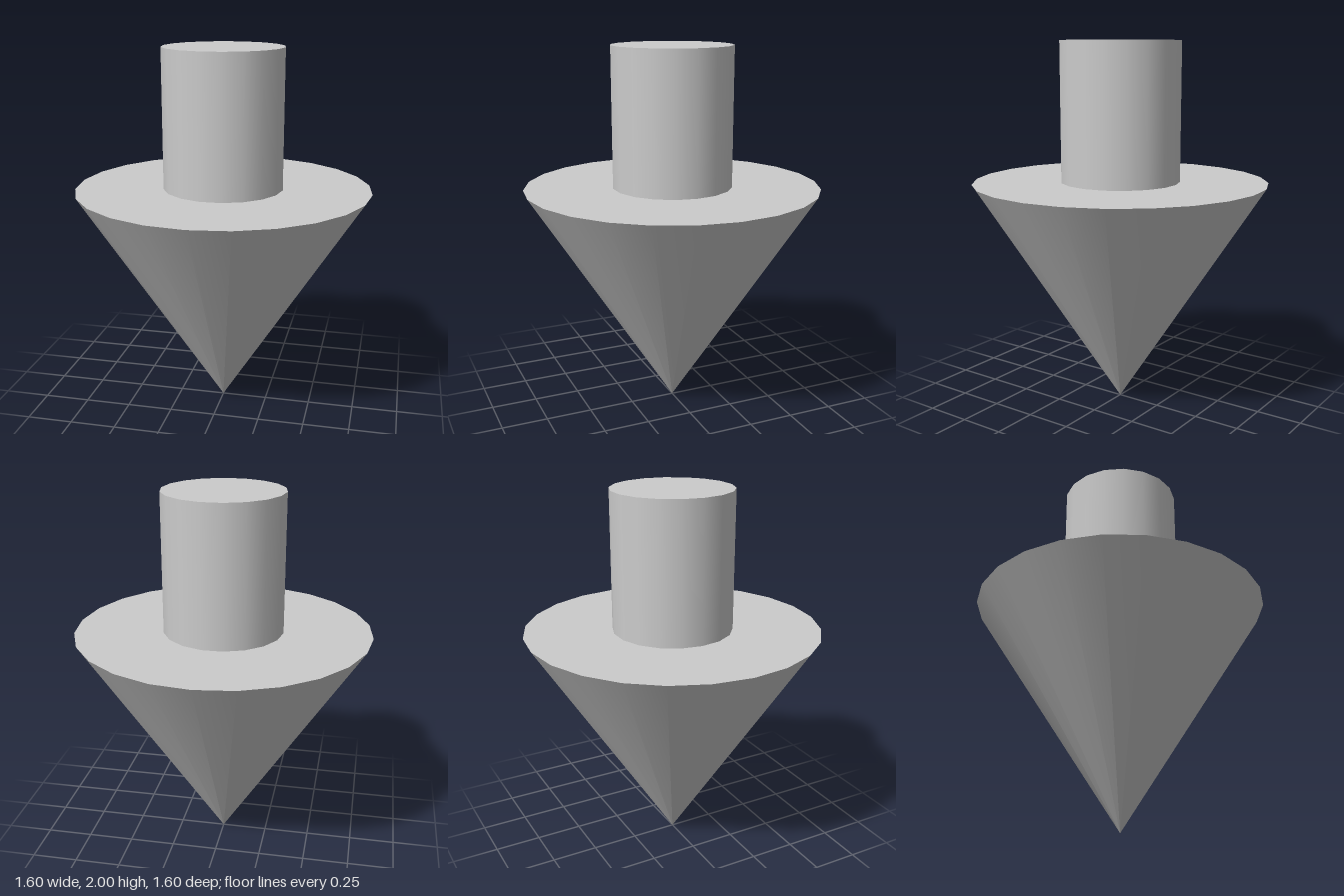
import * as THREE from 'three';

export function createModel() {
  const group = new THREE.Group();
  group.name = 'downArrow';
  const material = new THREE.MeshStandardMaterial({ color: 0xcccccc });

  const coneHeight = 1.25;
  const shaftHeight = 0.75;

  // Cone head with its tip on the ground
  const head = new THREE.Mesh(new THREE.CylinderGeometry(0.8, 0, coneHeight, 24), material);
  head.name = 'arrowHead';
  head.position.y = coneHeight / 2;

  // Round shaft standing on the flat of the head, with corners on the x axis
  const shaft = new THREE.Mesh(new THREE.CylinderGeometry(0.325, 0.325, shaftHeight, 18), material);
  shaft.name = 'arrowShaft';
  shaft.position.y = coneHeight + shaftHeight / 2;
  shaft.rotation.y = Math.PI / 2;

  group.add(head, shaft);
  return group;
}
